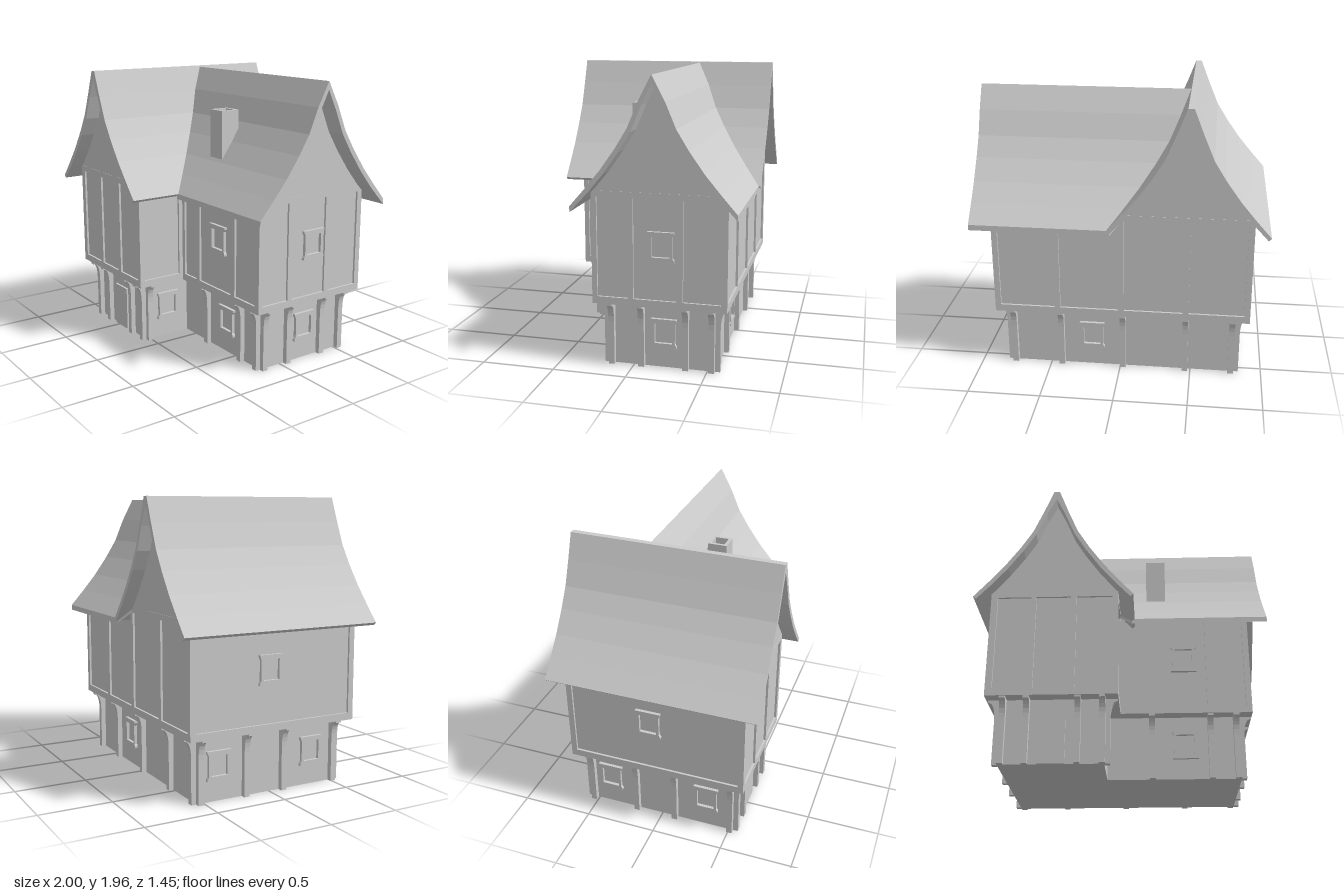
import * as THREE from 'three';

const RIDGE_X = -0.465, RIDGE_Z = -0.18;
// Half of the swept roof curve: [distance from ridge, height]
const CURVE = [[0.085, 1.79], [0.155, 1.625], [0.235, 1.495], [0.335, 1.355], [0.435, 1.235], [0.538, 1.118]];

export function createModel() {
  const model = new THREE.Group();
  const mat = new THREE.MeshStandardMaterial({ color: 0xcccccc, flatShading: true });

  const add = (name, geo, parent = model) => {
    const m = new THREE.Mesh(geo, mat);
    m.name = name;
    parent.add(m);
    return m;
  };
  const box = (name, x0, x1, y0, y1, z0, z1) =>
    add(name, new THREE.BoxGeometry(x1 - x0, y1 - y0, z1 - z0))
      .position.set((x0 + x1) / 2, (y0 + y1) / 2, (z0 + z1) / 2);
  const shapeOf = (pts) => new THREE.Shape(pts.map(([x, y]) => new THREE.Vector2(x, y)));
  const rect = (x0, x1, y0, y1) => [[x0, y0], [x1, y0], [x1, y1], [x0, y1]];
  const extrude = (shape, depth) =>
    new THREE.ExtrudeGeometry(shape, { depth, bevelEnabled: false, curveSegments: 6 });
  const withHoles = (outline, holes) => {
    const s = shapeOf(outline);
    for (const h of holes) s.holes.push(shapeOf(h));
    return s;
  };
  const mirrored = (half) => [...half.map(([u, y]) => [-u, y]).reverse(), ...half];

  // A wall face: local x runs along the wall, local z points outward
  const face = (name, turn, x, z) => {
    const g = new THREE.Group();
    g.name = name;
    g.rotation.y = turn * Math.PI / 2;
    g.position.set(x, 0, z);
    model.add(g);
    return g;
  };

  // Timber frame: a slab with one hole per panel
  const timberFrame = (g, u0, u1, panels) =>
    add('timberFrame', extrude(withHoles(rect(u0, u1, 0.44, 1.2),
      panels.map(([a, b]) => rect(a, b, 0.49, 1.16))), 0.015), g);

  // Window surround with slightly wider lintel and sill
  const windowFrame = (g, u, y) => {
    const half = [[0.088, 0.1], [0.088, 0.085], [0.078, 0.07], [0.078, -0.07], [0.088, -0.085], [0.088, -0.1]];
    const outline = [...half, ...half.map(([a, b]) => [-a, b]).reverse()];
    add('windowFrame', extrude(withHoles(outline, [rect(-0.06, 0.06, -0.068, 0.068)]), 0.022), g)
      .position.set(u, y, 0);
  };

  // Post with a curved bracket carrying the overhanging storey
  const bracketShape = shapeOf([[0, 0], [0.035, 0], [0.035, 0.3]]);
  bracketShape.quadraticCurveTo(0.035, 0.425, 0.085, 0.425);
  bracketShape.lineTo(0.085, 0.445);
  bracketShape.lineTo(0, 0.445);
  const postGeo = extrude(bracketShape, 0.04).translate(0, 0, -0.02).rotateY(-Math.PI / 2);
  const posts = (g, us) => us.forEach((u) => { add('bracketPost', postGeo, g).position.x = u; });

  // Storey bodies, front wing and side wing
  box('frontWingGroundFloor', -0.805, -0.12, 0, 0.445, -0.55, 0.53);
  box('sideWingGroundFloor', -0.2, 0.78, 0, 0.445, -0.55, 0.17);
  box('frontWingUpperFloor', -0.885, -0.045, 0.44, 1.195, -0.625, 0.605);
  box('sideWingUpperFloor', -0.2, 0.855, 0.44, 1.195, -0.625, 0.245);

  // Ground floor faces; turn 0 front, 1 +x side, 2 back, 3 -x side
  const g1 = face('frontWingGroundFront', 0, 0, 0.53);
  posts(g1, [-0.785, -0.63, -0.295, -0.135]);
  add('door', new THREE.BoxGeometry(0.175, 0.32, 0.03), g1).position.set(-0.462, 0.16, 0);
  const g2 = face('sideWingGroundFront', 0, 0, 0.17);
  posts(g2, [0.185, 0.585, 0.76]);
  windowFrame(g2, 0.41, 0.24);
  const g3 = face('sideWingGroundEnd', 1, 0.78, 0);
  posts(g3, [-0.15, 0.055, 0.355, 0.53]);
  windowFrame(g3, 0.205, 0.24);
  const g4 = face('frontWingGroundInnerSide', 1, -0.12, 0);
  posts(g4, [-0.51]);
  windowFrame(g4, -0.345, 0.24);
  const g5 = face('groundBack', 2, 0, -0.55);
  posts(g5, [-0.76, -0.42, 0.02, 0.46, 0.785]);
  windowFrame(g5, -0.2, 0.24);
  const g6 = face('groundOuterSide', 3, -0.805, 0);
  posts(g6, [-0.53, -0.19, 0.1, 0.51]);
  windowFrame(g6, -0.39, 0.24);
  windowFrame(g6, 0.33, 0.24);

  // Upper floor faces
  timberFrame(face('frontWingUpperFront', 0, 0, 0.605), -0.9, -0.03,
    [[-0.855, -0.625], [-0.59, -0.355], [-0.315, -0.07]]);
  const u2 = face('sideWingUpperFront', 0, 0, 0.245);
  timberFrame(u2, -0.04, 0.87, [[0, 0.15], [0.19, 0.565], [0.605, 0.83]]);
  windowFrame(u2, 0.41, 0.85);
  const u3 = face('sideWingUpperEnd', 1, 0.855, 0);
  timberFrame(u3, -0.26, 0.64, [[-0.225, -0.015], [0.02, 0.31], [0.35, 0.6]]);
  windowFrame(u3, 0.205, 0.85);
  timberFrame(face('frontWingUpperInnerSide', 1, -0.045, 0), -0.62, -0.25, [[-0.585, -0.29]]);
  timberFrame(face('upperBack', 2, 0, -0.625), -0.87, 0.9,
    [[-0.83, -0.45], [-0.41, -0.005], [0.035, 0.44], [0.48, 0.86]]);
  const u6 = face('upperOuterSide', 3, -0.885, 0);
  timberFrame(u6, -0.64, 0.62, [[-0.6, 0.58]]);
  windowFrame(u6, -0.05, 0.85);

  // Roof profiles; the last underside point sets the eave edge
  const under = CURVE.map(([u, y]) => [u - 0.022, y - 0.022]);
  const roofShape = (top, eave) => {
    const inner = [[0, 1.895], ...under.slice(0, -1), eave];
    const outer = mirrored([...top, ...CURVE]);
    const low = [...inner.slice(1).reverse(), inner[0], ...inner.slice(1).map(([u, y]) => [-u, y])];
    return shapeOf([...outer, ...low]);
  };

  // Front wing roof with its flat ridge
  add('frontWingRoof', extrude(roofShape([[0.02, 1.957]], [0.518, 1.1]), 1.45))
    .position.set(RIDGE_X, 0, -0.73);

  // Side wing roof, its inner end mitred along the valleys
  const sideShape = roofShape([[0.0005, 1.95]], [0.538, 1.08]);
  const sideRoof = extrude(sideShape, 1).rotateY(Math.PI / 2);
  const p = sideRoof.attributes.position;
  for (let i = 0; i < p.count; i++) {
    const start = RIDGE_X - 0.02 + Math.abs(p.getZ(i));
    p.setX(i, start + (1 - start) * p.getX(i));
  }
  sideRoof.computeVertexNormals();
  add('sideWingRoof', sideRoof).position.z = RIDGE_Z;

  // Gable walls filling the roof ends
  const gableGeo = extrude(shapeOf([
    ...mirrored([[0.0005, 1.9], ...under.filter(([, y]) => y > 1.2), [0.435, 1.19]])]), 0.02);
  add('frontGable', gableGeo).position.set(RIDGE_X, 0, 0.598);
  add('backGable', gableGeo).position.set(RIDGE_X, 0, -0.638);
  const sideGable = add('sideGable', gableGeo);
  sideGable.rotation.y = Math.PI / 2;
  sideGable.position.set(0.848, 0, RIDGE_Z);

  // Chimney with a sunken flue
  const flue = extrude(withHoles(rect(-0.07, 0.07, -0.07, 0.07), [rect(-0.048, 0.048, -0.048, 0.048)]), 0.06);
  add('chimneyRim', flue.rotateX(-Math.PI / 2)).position.set(0.225, 1.65, 0.07);
  box('chimneyStack', 0.155, 0.295, 1.3, 1.65, 0, 0.14);

  return model;
}
